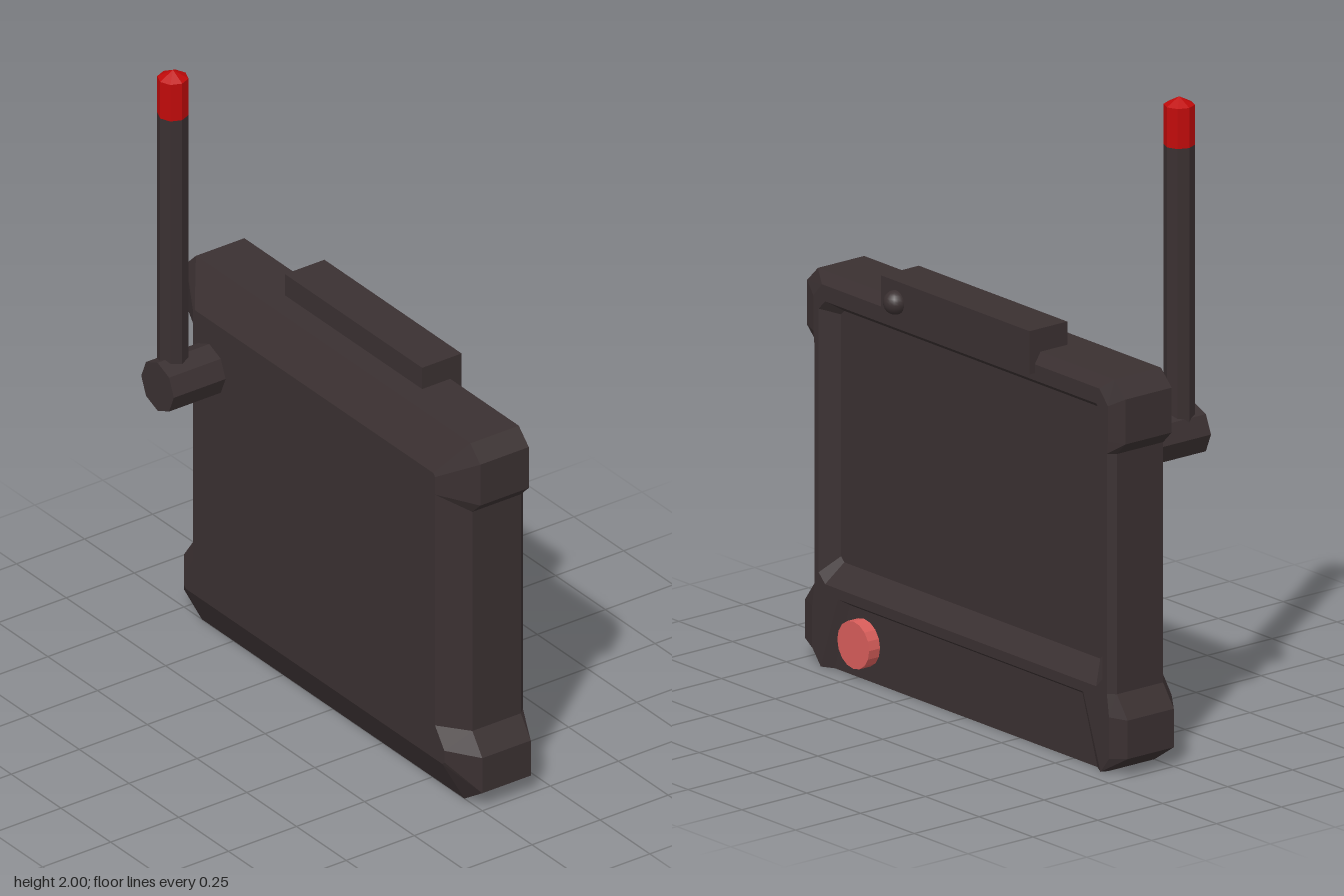
import * as THREE from 'three';

const casing = new THREE.MeshStandardMaterial({ color: 0x3a3031, side: THREE.DoubleSide });
casing.name = 'dark casing';
const red = new THREE.MeshStandardMaterial({ color: 0xc00a0a });
red.name = 'signal red';
const coral = new THREE.MeshStandardMaterial({ color: 0xd75d5a });
coral.name = 'coral button';

// Faceted copy of a geometry
function flat(geo) {
  const g = geo.index ? geo.toNonIndexed() : geo;
  g.computeVertexNormals();
  return g;
}

function add(parent, name, geo, material, x = 0, y = 0, z = 0) {
  const mesh = new THREE.Mesh(geo, material);
  mesh.name = name;
  mesh.position.set(x, y, z);
  parent.add(mesh);
  return mesh;
}

// Mirror a right-hand profile into a full counter-clockwise outline
const mirror = (half) => [...half, ...half.slice().reverse().map(([x, y]) => [-x, y])];

// Quads between two outlines at two depths
function strip(a, za, b, zb, closed) {
  const pos = [];
  const n = a.length;
  for (let i = 0; i < (closed ? n : n - 1); i++) {
    const j = (i + 1) % n;
    pos.push(...a[i], za, ...b[i], zb, ...b[j], zb);
    pos.push(...a[i], za, ...b[j], zb, ...a[j], za);
  }
  const g = new THREE.BufferGeometry();
  g.setAttribute('position', new THREE.Float32BufferAttribute(pos, 3));
  g.computeVertexNormals();
  return g;
}

// Flat face at depth z, facing the front or the back
function face(points, z, back, hole) {
  const shape = new THREE.Shape(points.map((p) => new THREE.Vector2(...p)));
  if (hole) shape.holes.push(new THREE.Path(hole.map((p) => new THREE.Vector2(...p))));
  const g = new THREE.ShapeGeometry(shape);
  if (back) {
    const idx = g.index.array;
    for (let i = 0; i < idx.length; i += 3) [idx[i], idx[i + 1]] = [idx[i + 1], idx[i]];
  }
  g.translate(0, 0, z);
  return flat(g);
}

// Rectangle with clipped corners
const clipped = (w, y0, y1, c) =>
  mirror([[w - c, y0], [w, y0 + c], [w, y1 - c], [w - c, y1]]);

export function createModel() {
  const model = new THREE.Group();
  model.name = 'handheldTerminal';

  // Body outlines: front face, full width, back face
  const front = mirror([[0.645, 0.135], [0.655, 0.145], [0.655, 0.185], [0.608, 0.25],
    [0.608, 1.04], [0.608, 1.06], [0.608, 1.1], [0.6, 1.11]]);
  const full = mirror([[0.66, 0], [0.75, 0.06], [0.75, 0.18], [0.7, 0.25],
    [0.7, 1.0], [0.74, 1.04], [0.74, 1.18], [0.69, 1.23]]);
  const rear = mirror([[0.65, 0], [0.69, 0.05], [0.69, 0.18], [0.68, 0.25],
    [0.68, 1.0], [0.685, 1.04], [0.685, 1.15], [0.645, 1.195]]);
  const zFront = 0.07, zRim = -0.178, zBack = -0.2, zScreen = -0.155;

  const body = new THREE.Group();
  body.name = 'body';
  model.add(body);
  add(body, 'frontPanel', face(front, zFront, false), casing);
  add(body, 'frontBevel', strip(front, zFront, full, 0, true), casing);
  add(body, 'sideWall', strip(full, 0, full, zRim, true), casing);
  add(body, 'rearBevel', strip(full, zRim, rear, zBack, false), casing);

  // Rear frame with the screen opening and the notch of the control panel
  const opening = clipped(0.66, 0.262, 1.145, 0.03);
  const screen = clipped(0.61, 0.33, 1.115, 0.015);
  const notch = [[0.65, 0], [0.57, 0.23], [-0.57, 0.23], [-0.65, 0]];
  const panel = [[0.61, 0], [0.54, 0.215], [-0.54, 0.215], [-0.61, 0]];
  add(body, 'rearFrame', face([...rear, [-0.57, 0.23], [0.57, 0.23]], zBack, true, opening), casing);
  add(body, 'screenBezel', strip(opening, zBack, screen, zScreen, true), casing);
  add(body, 'screen', face(screen, zScreen, true), casing);
  add(body, 'controlPanelEdge', strip(
    [notch[0], ...notch, notch[3]], zBack,
    [[0.66, 0], ...panel, [-0.66, 0]], zRim, false), casing);
  add(body, 'controlPanel', face(panel, zRim, true), casing);

  // Round button on the control panel
  const button = new THREE.CylinderGeometry(0.074, 0.074, 0.044, 16);
  button.rotateX(Math.PI / 2);
  add(model, 'button', flat(button), coral, 0.475, 0.115, -0.198);

  // Top block with its small knob
  add(model, 'topBlock', new THREE.BoxGeometry(0.69, 0.135, 0.145), casing, 0, 1.235, -0.1475);
  add(model, 'knob', new THREE.SphereGeometry(0.037, 16, 12), casing, 0.275, 1.237, -0.224);

  // Antenna: pivot, rod and pointed tip
  const antenna = new THREE.Group();
  antenna.name = 'antenna';
  model.add(antenna);
  const pivot = new THREE.CylinderGeometry(0.082, 0.082, 0.2, 8);
  pivot.rotateX(Math.PI / 2);
  add(antenna, 'antennaPivot', flat(pivot), casing, -0.527, 0.946, 0.16);
  const rod = new THREE.CylinderGeometry(0.047, 0.047, 0.89, 8);
  add(antenna, 'antennaRod', flat(rod), casing, -0.543, 1.405, 0.192);
  const tip = new THREE.CylinderGeometry(0.047, 0.047, 0.125, 8, 1, true);
  add(antenna, 'antennaTip', flat(tip), red, -0.543, 1.9125, 0.192);
  const point = new THREE.ConeGeometry(0.047, 0.025, 8, 1, true);
  add(antenna, 'antennaPoint', flat(point), red, -0.543, 1.9875, 0.192);

  return model;
}
